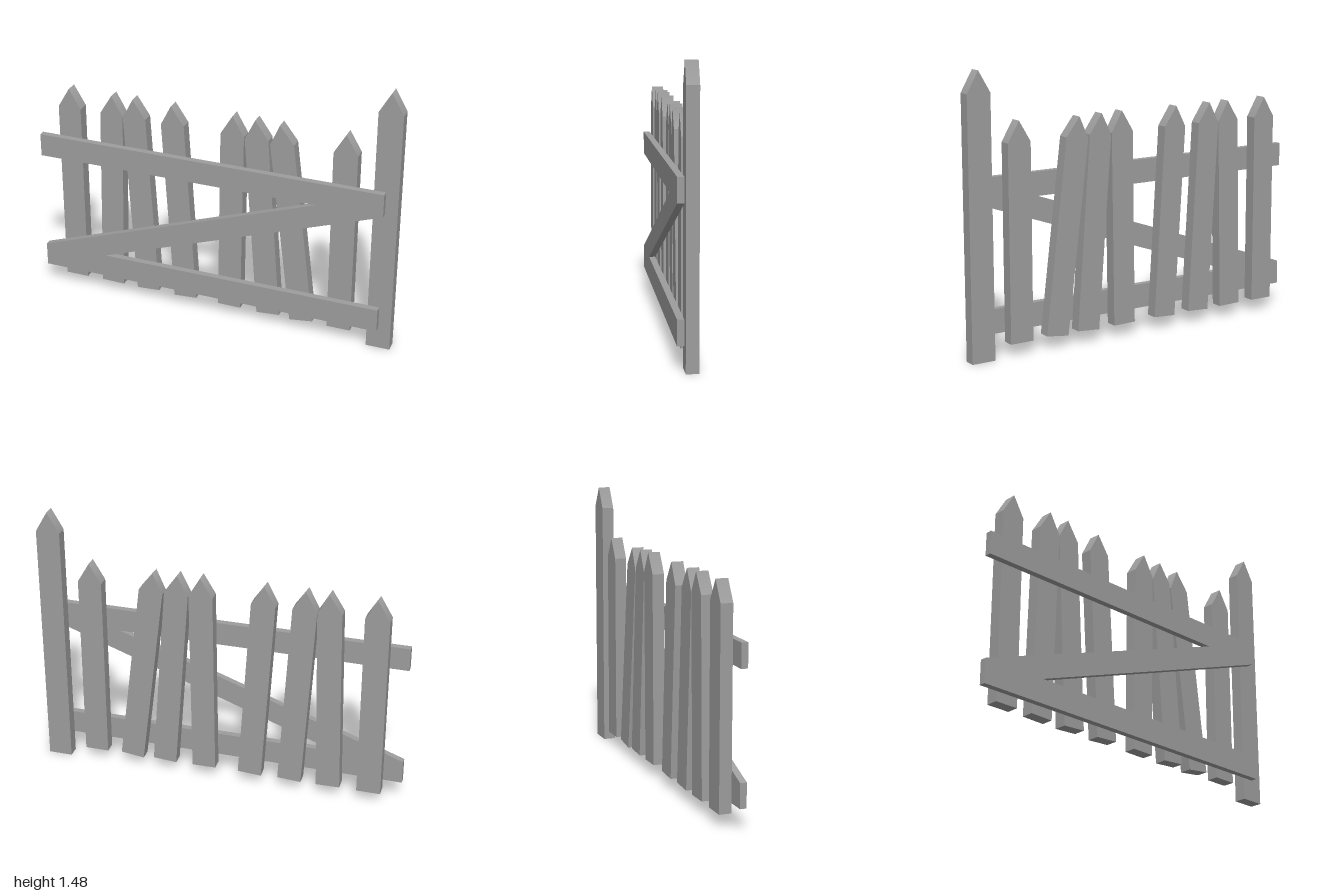
import * as THREE from 'three';

const material = new THREE.MeshStandardMaterial({ color: 0x9d9d9d });

// Extrudes an outline of [x, y] points from z0 to z1
function board(name, points, z0, z1) {
  const shape = new THREE.Shape(points.map(([x, y]) => new THREE.Vector2(x, y)));
  const geometry = new THREE.ExtrudeGeometry(shape, { depth: z1 - z0, bevelEnabled: false });
  geometry.translate(0, 0, z0);
  const mesh = new THREE.Mesh(geometry, material);
  mesh.name = name;
  return mesh;
}

// Upright pointed board, origin at the middle of its foot
function pointedBoard(name, height, tipHeight) {
  const w = 0.065, shoulder = height - tipHeight;
  const mesh = board(name, [[-w, 0], [w, 0], [w, shoulder], [0, height], [-w, shoulder]], -0.05, 0.015);

  // Soft ridge: both slopes share an upward normal at the tip
  const { position, normal } = mesh.geometry.attributes;
  for (let i = 0; i < position.count; i++) {
    const onRidge = position.getY(i) > height - 0.001;
    if (onRidge && Math.abs(normal.getZ(i)) < 0.5) normal.setXYZ(i, 0, 1, 0);
  }
  return mesh;
}

export function createModel() {
  const model = new THREE.Group();
  model.name = 'gate';

  // Pickets: [x at foot, x at tip], some leaning
  const height = 1.149;
  const pickets = [
    [-0.832, -0.832], [-0.609, -0.583], [-0.394, -0.461], [-0.171, -0.242],
    [0.088, 0.102], [0.313, 0.226], [0.502, 0.36], [0.713, 0.713],
  ];
  pickets.forEach(([foot, tip], i) => {
    const picket = pointedBoard(`picket${i + 1}`, height, 0.11);
    picket.position.set(foot, 0.068, 0);
    picket.rotation.z = Math.asin((foot - tip) / height);
    model.add(picket);
  });

  // Taller end post
  const post = pointedBoard('endPost', 1.483, 0.113);
  post.position.x = 0.935;
  model.add(post);

  // Two rails joined by the diagonal brace, one flush frame
  model.add(board('railsAndBrace', [
    [-1, 0.12], [0.933, 0.12], [0.933, 0.25], [-0.635, 0.25], [0.933, 0.808],
    [0.933, 0.935], [-1, 0.935], [-1, 0.808], [0.575, 0.808], [-1, 0.25],
  ], 0.015, 0.05));

  return model;
}
